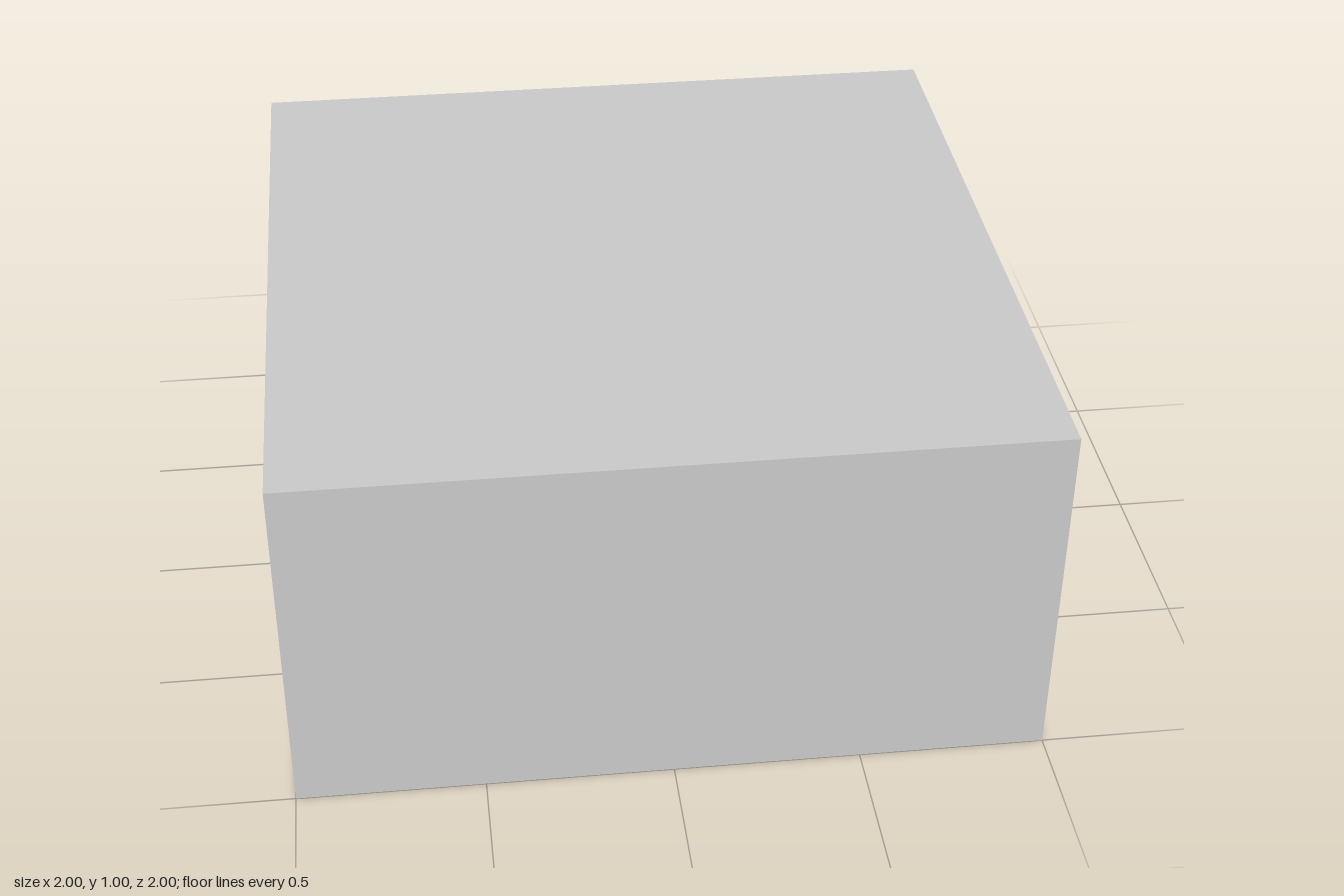
import * as THREE from 'three';

const W = 2, H = 1, T = 0.2;            // outer width, height, wall thickness
const IN = W / 2 - T;                   // half width of the room inside
const WIN = { half: 0.2, y0: 0.2, y1: 0.6 };

const material = new THREE.MeshStandardMaterial({ color: 0xcccccc });

export function createModel() {
  const group = new THREE.Group();
  const add = (name, geometry, x, y) => {
    const mesh = new THREE.Mesh(geometry, material);
    mesh.name = name;
    mesh.position.set(x, y, 0);
    group.add(mesh);
  };

  // Box without its first faces (order +x, -x, ...), optionally turned inside out
  const openBox = (w, h, d, skip, inward) => {
    const geometry = new THREE.BoxGeometry(w, h, d);
    const index = Array.from(geometry.index.array).slice(skip * 6);
    geometry.setIndex(inward ? index.reverse() : index);
    geometry.clearGroups();
    geometry.computeVertexNormals();
    return geometry;
  };

  // Flat panel from an outline in (z, y), facing +x or -x
  const panel = (points, facing, hole) => {
    const shape = new THREE.Shape(points.map(([a, b]) => new THREE.Vector2(a, b)));
    if (hole) shape.holes.push(new THREE.Path(hole.map(([a, b]) => new THREE.Vector2(a, b))));
    return new THREE.ShapeGeometry(shape).rotateY(facing * Math.PI / 2);
  };

  const { half, y0, y1 } = WIN;

  // Outside of the block; the window side is added separately
  add('outerShell', openBox(W, H, W, 1, false), 0, H / 2);
  add('windowWallOutside', panel(
    [[-W / 2, 0], [W / 2, 0], [W / 2, H], [-W / 2, H]], 1,
    [[-half, y0], [-half, y1], [half, y1], [half, y0]]), W / 2, 0);

  // Hollow room; its floor is level with the window sill
  add('innerRoom', openBox(2 * IN, H - 2 * T, 2 * IN, 1, true), 0, H / 2);
  add('windowWallInside', panel(
    [[-IN, T], [-half, T], [-half, y1], [half, y1], [half, T], [IN, T], [IN, H - T], [-IN, H - T]], -1), IN, 0);

  // Sides, sill and top of the window opening
  add('windowReveal', openBox(T, y1 - y0, 2 * half, 2, true), W / 2 - T / 2, (y0 + y1) / 2);

  return group;
}
